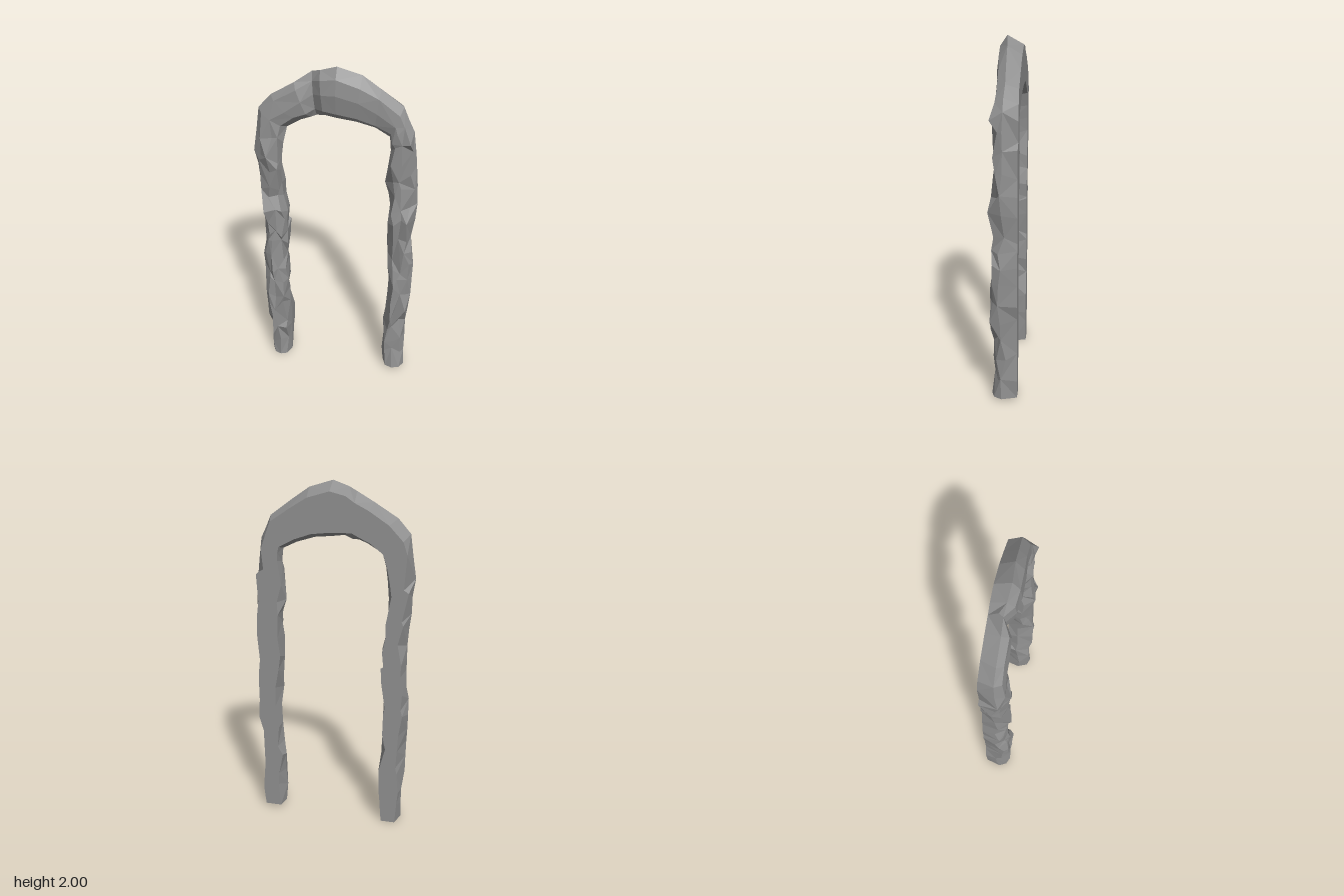
import * as THREE from 'three';

// Stations along the arch: outer x, outer y, inner x, inner y, front z
const stations = [
  [-0.42, 0, -0.30, 0, 0.06], [-0.435, 0.4, -0.29, 0.42, 0.08],
  [-0.445, 0.68, -0.31, 0.67, 0.075], [-0.43, 0.95, -0.29, 0.95, 0.06],
  [-0.425, 1.1, -0.295, 1.08, 0.085], [-0.44, 1.2, -0.315, 1.18, 0.05],
  [-0.46, 1.48, -0.31, 1.46, 0.08], [-0.43, 1.73, -0.28, 1.62, 0.05],
  [-0.36, 1.81, -0.2, 1.67, 0.05], [-0.23, 1.89, -0.15, 1.69, 0.045],
  [-0.14, 1.95, -0.12, 1.695, 0], [-0.09, 1.97, -0.07, 1.71, 0.045],
  [0, 2, 0, 1.7, 0.055], [0.13, 1.96, 0.1, 1.69, 0.05],
  [0.23, 1.89, 0.2, 1.66, 0.04], [0.35, 1.8, 0.28, 1.62, 0.04],
  [0.41, 1.67, 0.29, 1.54, 0.065], [0.44, 1.47, 0.265, 1.33, 0.05],
  [0.45, 1.24, 0.30, 1.2, 0.06], [0.45, 1.13, 0.29, 1.09, 0.075],
  [0.43, 1, 0.29, 0.97, 0.05], [0.455, 0.73, 0.305, 0.68, 0.07],
  [0.44, 0.49, 0.295, 0.44, 0.07], [0.42, 0.39, 0.285, 0.35, 0.055],
  [0.43, 0.02, 0.295, 0.02, 0.06],
];

const BACK = -0.085;
// Cross-section: fraction from outer to inner edge, depth from back to front
const section = [[0.19, 0], [0, 0.6], [0.18, 0.9], [0.5, 1], [0.82, 0.9], [1, 0.5], [0.88, 0]];

function seeded(seed) {
  return () => {
    seed = (seed * 16807) % 2147483647;
    return (seed / 2147483647) * 2 - 1;
  };
}

// Add stations in between wherever two lie far apart
function refine(list) {
  return list.flatMap((s, i) => {
    const next = list[i + 1];
    if (!next) return [s];
    const steps = Math.ceil(Math.abs(next[1] - s[1]) / 0.13);
    return Array.from({ length: steps }, (_, m) => s.map((v, k) => v + ((next[k] - v) * m) / steps));
  });
}

export function createModel() {
  const group = new THREE.Group();
  const rand = seeded(41);
  const path = refine(stations);
  const last = path.length - 1;

  // Irregular rings with a flat back and rough, chipped front
  const rings = path.map(([ox, oy, ix, iy, front], i) =>
    section.map(([t, d], j) => {
      const isEnd = i === 0 || i === last;
      const rough = isEnd ? 0 : oy > 1.7 ? 0.25 : 1;
      const edge = t === 0 || t === 1;
      const across = t + rand() * (edge ? 0.04 : 0.13) * rough;
      const depth = d === 0 ? 0 : d + (j === 3 ? 0.06 * (rand() - 1) : 0.17 * rand()) * rough;
      return new THREE.Vector3(
        ox + (ix - ox) * across,
        oy + (iy - oy) * t + (edge ? 0 : rand() * 0.04 * rough),
        BACK + (front - BACK) * Math.min(depth, 1)
      );
    })
  );

  // Skin between neighbouring rings, with alternating diagonals
  const points = [];
  const n = section.length;
  for (let i = 0; i < last; i++) {
    for (let j = 0; j < n; j++) {
      const k = (j + 1) % n;
      const a = rings[i][j], b = rings[i][k], c = rings[i + 1][k], d = rings[i + 1][j];
      if ((i + j) % 2) points.push(a, b, c, a, c, d);
      else points.push(a, b, d, b, c, d);
    }
  }
  // Flat feet
  for (let j = 1; j < n - 1; j++) {
    points.push(rings[0][0], rings[0][j + 1], rings[0][j]);
    points.push(rings[last][0], rings[last][j], rings[last][j + 1]);
  }

  const geometry = new THREE.BufferGeometry().setFromPoints(points);
  geometry.computeVertexNormals();
  const arch = new THREE.Mesh(
    geometry,
    new THREE.MeshStandardMaterial({ color: 0x909090, flatShading: true })
  );
  arch.name = 'rockArch';
  group.add(arch);
  return group;
}
